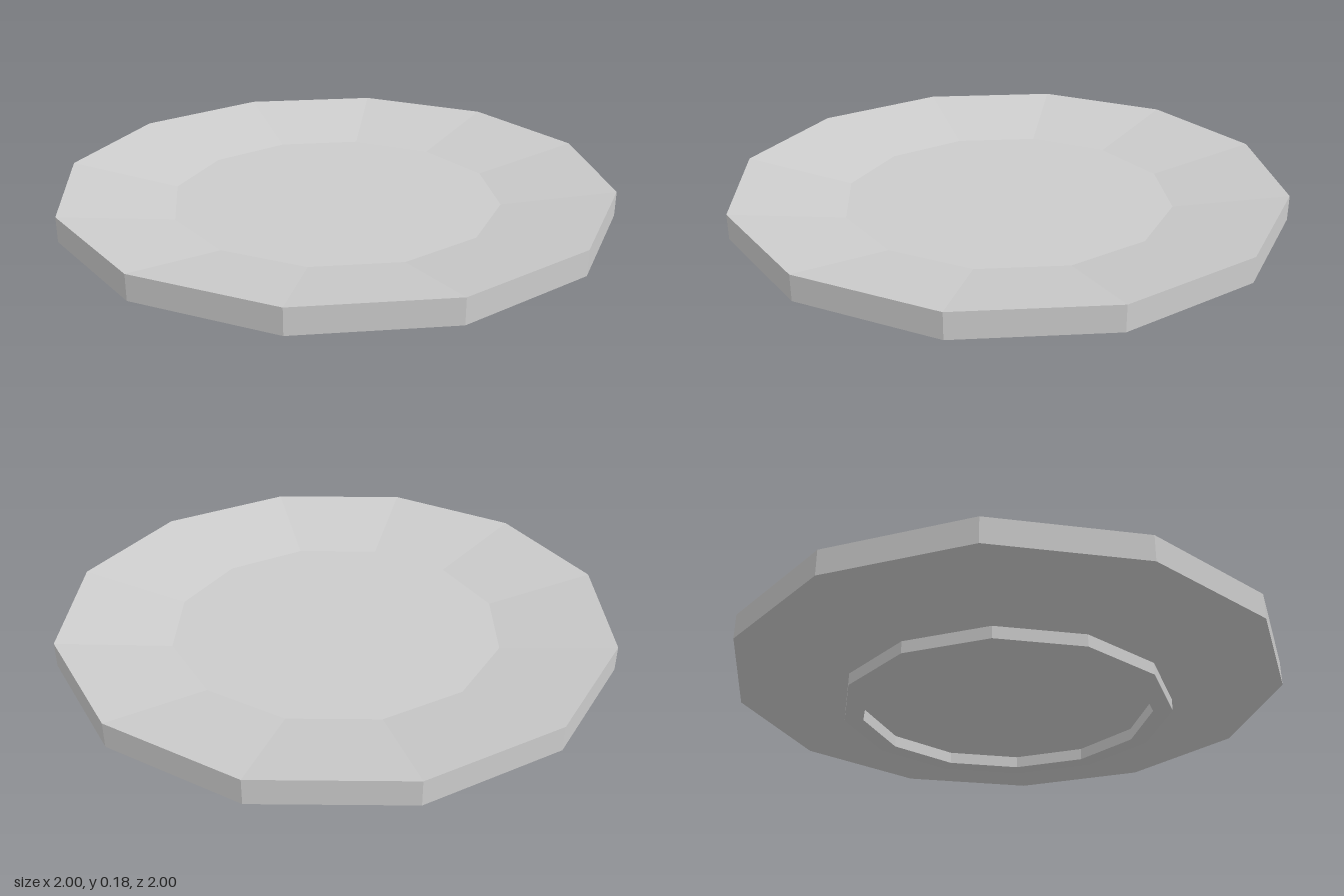
import * as THREE from 'three';

const SIDES = 12;

export function createModel() {
  const group = new THREE.Group();
  group.name = 'plate';
  const material = new THREE.MeshStandardMaterial({ color: 0xcccccc, flatShading: true });

  // Turns a profile of [radius, height] points, running from underside to top
  const turn = (name, profile) => {
    const points = profile.map(([r, y]) => new THREE.Vector2(r, y));
    const mesh = new THREE.Mesh(new THREE.LatheGeometry(points, SIDES), material);
    mesh.name = name;
    group.add(mesh);
  };

  // Dish: flat base, sloping underside, upright edge, sloping rim, flat well
  turn('dish', [
    [0, 0.044], [0.53, 0.044],
  ]);
  turn('dishRim', [
    [0.6, 0.044], [1, 0.088], [1, 0.178], [0.6, 0.106], [0, 0.106],
  ]);

  // Raised ring the plate stands on
  turn('footRing', [
    [0.53, 0.044], [0.53, 0], [0.6, 0], [0.6, 0.044],
  ]);

  group.children[0].name = 'baseRecess';
  group.children[1].name = 'dish';
  return group;
}
